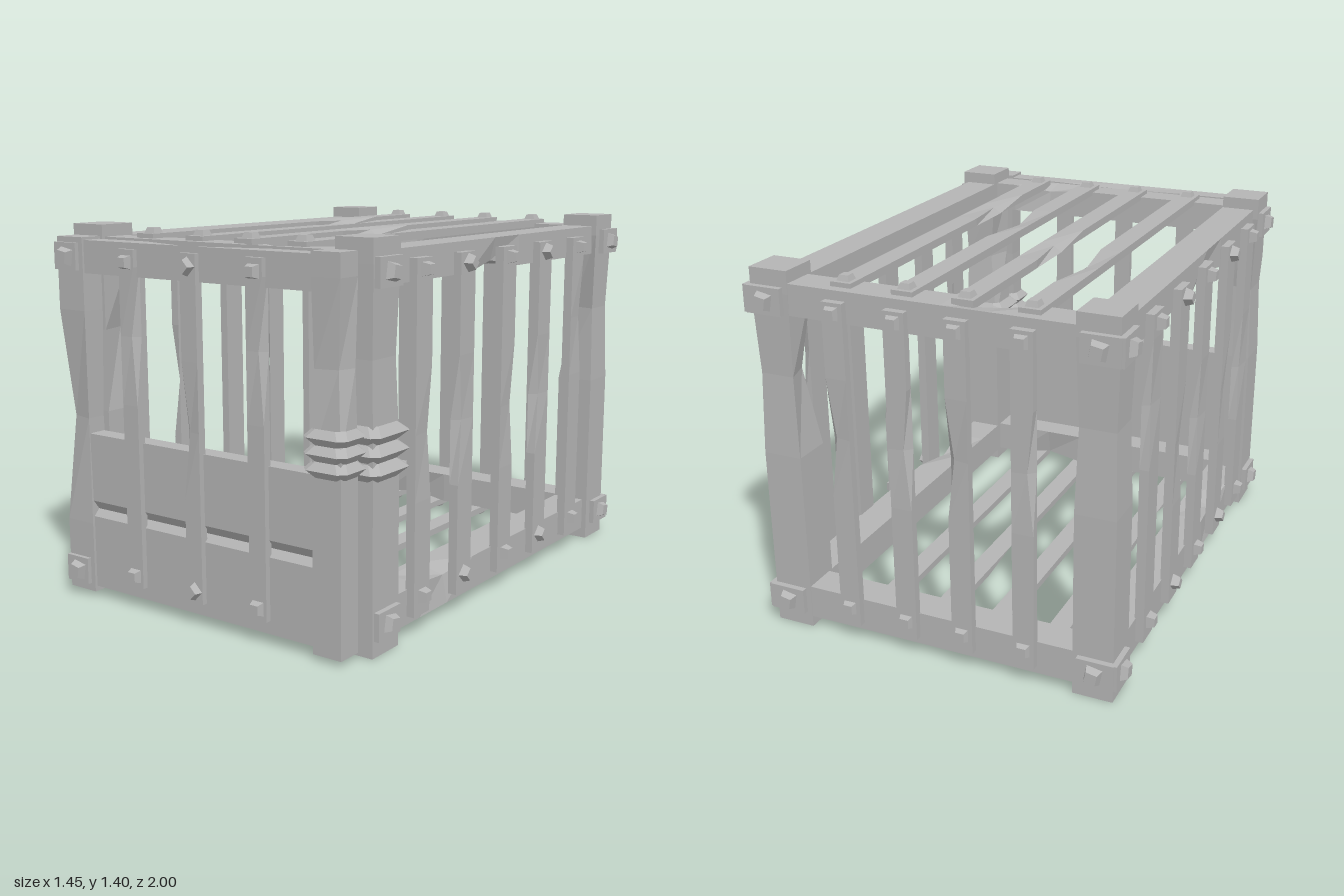
import * as THREE from 'three';

const wood = new THREE.MeshStandardMaterial({ color: 0xb4b4b4 });
wood.name = 'plain grey';

// Hard-edged mesh: every face keeps its own normal
function facet(name, geometry) {
  const g = geometry.index ? geometry.toNonIndexed() : geometry;
  g.computeVertexNormals();
  const mesh = new THREE.Mesh(g, wood);
  mesh.name = name;
  return mesh;
}

// Hewn timber between two corners. Its long axis has five rows; `waist` narrows the
// middle row, `chip` = [position 0..1, half length, signA, signB, depthA, depthB]
// pushes in one long edge (A and B are the two short axes in x, y, z order).
function timber(name, [x0, x1], [y0, y1], [z0, z1], { chip = null, waist = 0 } = {}) {
  const size = [x1 - x0, y1 - y0, z1 - z0];
  const long = size.indexOf(Math.max(...size));
  const [a, b] = [0, 1, 2].filter((i) => i !== long);
  const seg = [1, 1, 1];
  seg[long] = 4;
  const g = new THREE.BoxGeometry(...size, ...seg);
  const p = g.attributes.position;
  const [at, half] = chip || [0.5, 0.22];
  const rows = [0, at - half, at, at + half, 1];
  for (let i = 0; i < p.count; i++) {
    const v = [p.getX(i), p.getY(i), p.getZ(i)];
    const row = Math.round((v[long] / size[long] + 0.5) * 4);
    const sa = Math.sign(v[a]), sb = Math.sign(v[b]);
    v[long] = (rows[row] - 0.5) * size[long];
    if (row === 2) {
      v[a] -= sa * waist;
      v[b] -= sb * waist;
      if (chip && sa === chip[2] && sb === chip[3]) {
        v[a] -= sa * chip[4];
        v[b] -= sb * chip[5];
      }
    }
    p.setXYZ(i, ...v);
  }
  g.translate((x0 + x1) / 2, (y0 + y1) / 2, (z0 + z1) / 2);
  return facet(name, g);
}

// Square tapered bolt head standing on a surface and pointing along dir
function bolt(at, dir, spin = Math.PI / 4, r = 0.034, h = 0.03) {
  const g = new THREE.CylinderGeometry(r * 0.7, r, h, 4);
  g.translate(0, h / 2, 0);
  g.rotateY(spin);
  const mesh = facet('bolt', g);
  mesh.quaternion.setFromUnitVectors(new THREE.Vector3(0, 1, 0), new THREE.Vector3(...dir));
  mesh.position.set(...at);
  return mesh;
}

// Stacked rope coils with a zigzag profile round a chamfered rectangle
function coils(name, [x0, x1], [z0, z1], y0, y1, bulge) {
  const levels = 7, pos = [], index = [], c = 0.025;
  for (let k = 0; k < levels; k++) {
    const o = k % 2 ? bulge : 0.003;
    const [l, r, n, f] = [x0 - o, x1 + o, z0 - o, z1 + o];
    const loop = [[l + c, f], [r - c, f], [r, f - c], [r, n + c], [r - c, n], [l + c, n], [l, n + c], [l, f - c]];
    for (const [x, z] of loop) pos.push(x, y0 + ((y1 - y0) * k) / (levels - 1), z);
  }
  for (let k = 0; k < levels - 1; k++) {
    for (let i = 0; i < 8; i++) {
      const a = k * 8 + i, b = k * 8 + ((i + 1) % 8);
      index.push(a, b, b + 8, a, b + 8, a + 8);
    }
  }
  const g = new THREE.BufferGeometry();
  g.setAttribute('position', new THREE.Float32BufferAttribute(pos, 3));
  g.setIndex(index);
  return facet(name, g);
}

export function createModel() {
  const cage = new THREE.Group();
  cage.name = 'cage';
  const group = (name) => {
    const g = new THREE.Group();
    g.name = name;
    cage.add(g);
    return g;
  };
  const span = (s, a, b) => (s > 0 ? [a, b] : [-b, -a]);
  const barX = [-0.355, -0.117, 0.107, 0.342];

  // Corner posts with bolted plates on the outer faces
  const posts = group('cornerPosts');
  for (const s of [-1, 1]) {
    for (const back of [false, true]) {
      const z = back ? [-0.95, -0.8] : [0.69, 0.845];
      const chip = [0.72, 0.22, -s, back ? 1 : -1, 0.03, 0.03];
      posts.add(timber('cornerPost', span(s, 0.53, 0.68), [0, 1.4], z, { waist: 0.01, chip }));
      for (const y of [0.11, 1.29]) {
        const pz = back ? -0.902 : 0.77;
        posts.add(timber('sidePlate', span(s, 0.645, 0.7), [y - 0.05, y + 0.05], [pz - 0.066, pz + 0.066]));
        posts.add(bolt([s * 0.7, y, pz], [s, 0, 0], 0.6, 0.042, 0.025));
        if (back) {
          posts.add(timber('backPlate', span(s, 0.55, 0.69), [y - 0.05, y + 0.05], [-0.972, -0.93]));
          posts.add(bolt([s * 0.615, y, -0.972], [0, 0, -1], 0.6, 0.042, 0.028));
        }
      }
    }
  }

  // Rails joining the posts, top and bottom
  const rails = group('rails');
  for (const top of [true, false]) {
    const y = top ? [1.24, 1.355] : [0.042, 0.17];
    for (const s of [-1, 1]) {
      const chip = top ? [0.55, 0.12, s, -1, 0.02, 0.03] : [0.75, 0.12, s, 1, 0.02, 0.025];
      rails.add(timber('sideRail', span(s, 0.53, 0.66), y, [-0.82, 0.72], { chip }));
    }
    rails.add(timber('frontRail', [-0.55, 0.55], y, [0.72, 0.83], { chip: [0.75, 0.15, top ? 1 : -1, -1, 0.02, 0.02] }));
    rails.add(timber('backRail', [-0.55, 0.55], y, [-0.947, -0.82], { chip: [0.3, 0.15, top ? 1 : -1, 1, 0.02, 0.02] }));
  }

  // Upright slats on both sides
  const sides = group('sideSlats');
  for (const s of [-1, 1]) {
    [0.555, 0.27, -0.035, -0.325, -0.615].forEach((z, i) => {
      const edge = i % 2 ? 1 : -1;
      sides.add(timber('sideSlat', span(s, 0.655, 0.69), [0.072, 1.32], [z - 0.05, z + 0.05],
        { chip: [i === 4 ? 0.74 : 0.52, 0.19, s, edge, 0.008, i % 2 ? 0.03 : 0.015] }));
      for (const y of [0.143, 1.282]) sides.add(bolt([s * 0.69, y, z], [s, 0, 0], i % 2 ? 0 : Math.PI / 4));
    });
  }

  // Slats on the back, roof and floor share the same spacing
  const slats = group('backRoofAndFloorSlats');
  barX.forEach((x, i) => {
    const w = [x - 0.04, x + 0.04], e = i % 2 ? 1 : -1;
    slats.add(timber('backSlat', w, [0.072, 1.32], [-0.975, -0.943], { chip: [0.6, 0.18, e, -1, 0.025, 0.008] }));
    slats.add(timber('roofSlat', w, [1.342, 1.372], [-0.91, 0.8], { chip: [0.3 + i * 0.13, 0.13, -e, 1, 0.03, 0.008] }));
    slats.add(timber('floorSlat', w, [0.018, 0.045], [-0.91, 0.8], { chip: [0.7 - i * 0.13, 0.13, e, -1, 0.03, 0.008] }));
    for (const y of [0.143, 1.282]) slats.add(bolt([x, y, -0.975], [0, 0, -1], Math.PI / 4, 0.034, 0.02));
    for (const z of [-0.87, 0.755]) {
      slats.add(bolt([x, 1.372, z], [0, 1, 0], Math.PI / 4, 0.034, 0.02));
      slats.add(bolt([x, 0.018, z], [0, -1, 0], Math.PI / 4, 0.034, 0.018));
    }
  });

  // Door frame
  const door = group('door');
  door.add(timber('doorHingePost', [-0.65, -0.52], [0.02, 1.36], [0.865, 0.955], { waist: 0.008, chip: [0.5, 0.3, -1, 1, 0.025, 0.02] }));
  door.add(timber('doorLatchPost', [0.52, 0.635], [0.02, 1.36], [0.865, 0.96], { waist: 0.006, chip: [0.72, 0.22, 1, 1, 0.02, 0.02] }));
  door.add(timber('doorTopRail', [-0.56, 0.56], [1.23, 1.35], [0.87, 0.947], { chip: [0.5, 0.25, 1, -1, 0.01, 0.02] }));

  // Solid lower panel with a groove between its two boards
  const profile = new THREE.Shape([
    [0.875, 0.04], [0.945, 0.04], [0.945, 0.315], [0.92, 0.34], [0.945, 0.375], [0.945, 0.633], [0.875, 0.633],
  ].map(([z, y]) => new THREE.Vector2(z, y)));
  const panel = new THREE.ExtrudeGeometry(profile, { depth: 1.1, bevelEnabled: false });
  panel.rotateY(-Math.PI / 2);
  panel.translate(0.55, 0, 0);
  door.add(facet('doorPanel', panel));

  // Door slats and the plates on the hinge post
  [-0.29, 0, 0.29].forEach((x, i) => {
    door.add(timber('doorSlat', [x - 0.036, x + 0.036], [0.088, 1.328], [0.935, 0.966],
      { chip: [i === 1 ? 0.5 : 0.75, 0.2, i === 1 ? -1 : 1, 1, 0.025, 0.008] }));
    for (const y of [0.133, 1.283]) door.add(bolt([x, y, 0.966], [0, 0, 1], i === 1 ? 0 : Math.PI / 4, 0.034, 0.025));
  });
  for (const y of [0.1, 1.29]) {
    door.add(timber('doorPlate', [-0.65, -0.54], [y - 0.05, y + 0.05], [0.93, 0.971]));
    door.add(bolt([-0.587, y, 0.971], [0, 0, 1], 0.6, 0.042, 0.027));
  }

  // Rope lashing the door to the front post
  const lashing = group('ropeLashing');
  lashing.add(coils('postCoils', [0.525, 0.68], [0.69, 0.84], 0.605, 0.792, 0.034));
  lashing.add(coils('doorCoils', [0.515, 0.638], [0.86, 0.962], 0.63, 0.792, 0.026));

  return cage;
}
